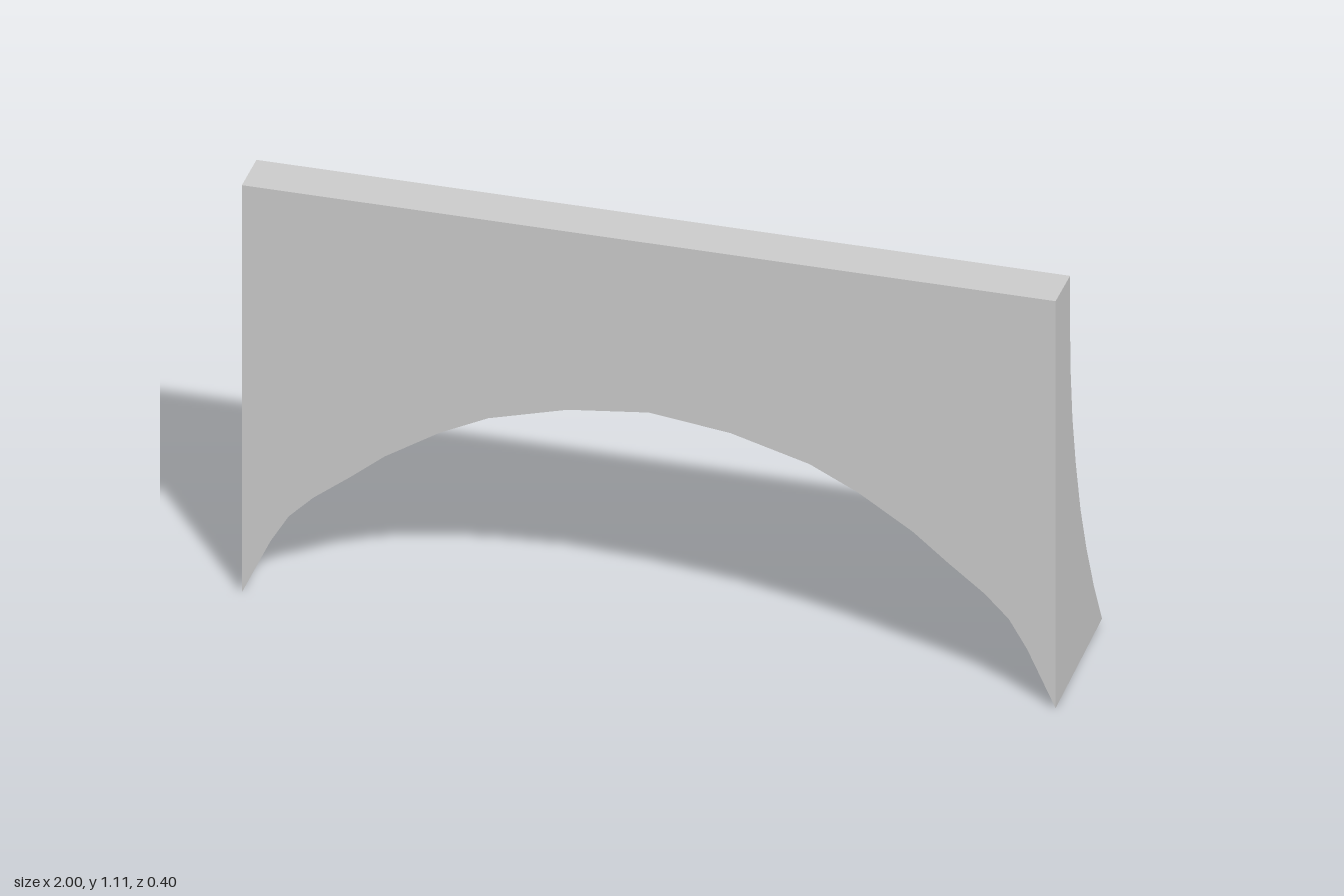
import * as THREE from 'three';
import { toCreasedNormals } from 'three/addons/utils/BufferGeometryUtils.js';

const FRONT_Z = 0.2, TOP_Y = 1.11;

// Half of the arch opening, from crown to foot: [x, y]
const ARCH = [[0, 0.648], [0.2, 0.624], [0.395, 0.57], [0.515, 0.511], [0.65, 0.425],
  [0.735, 0.355], [0.825, 0.285], [0.885, 0.225], [0.93, 0.15], [1, 0]];

// Curved back, from top to flared foot: [y, z]
const BACK = [[TOP_Y, 0.075], [0.98, 0.075], [0.86, 0.072], [0.71, 0.055], [0.57, 0.026],
  [0.425, -0.014], [0.285, -0.067], [0.15, -0.13], [0.023, -0.2]];

// Depth of the back surface at a given height
function backZ(y) {
  const i = Math.max(1, BACK.findIndex(([h]) => h <= y));
  const [y0, z0] = BACK[i - 1], [y1, z1] = BACK[i];
  return z0 + (z1 - z0) * (y0 - y) / (y0 - y1);
}

// Closed cross-section of the wall at one x: up the front, over the top, down the back
function section(x, archY) {
  const ring = [[x, archY, FRONT_Z], [x, TOP_Y, FRONT_Z]];
  for (const [level] of BACK) {
    const y = Math.max(level, archY);
    ring.push([x, y, backZ(y)]);
  }
  return ring;
}

function archGeometry() {
  const columns = [...ARCH.slice(1).reverse().map(([x, y]) => [-x, y]), ...ARCH];
  const rings = columns.map(([x, y]) => section(x, y));
  const positions = [];
  const a = new THREE.Vector3(), b = new THREE.Vector3(), c = new THREE.Vector3();

  // Adds a triangle, skipping the collapsed ones along the arch edge
  const triangle = (p, q, r) => {
    a.fromArray(p); b.fromArray(q).sub(a); c.fromArray(r).sub(a);
    if (b.cross(c).length() > 1e-7) positions.push(...p, ...q, ...r);
  };

  // Skin between neighbouring sections
  for (let i = 0; i < rings.length - 1; i++) {
    const left = rings[i], right = rings[i + 1], n = left.length;
    for (let k = 0; k < n; k++) {
      const m = (k + 1) % n;
      triangle(left[k], right[k], right[m]);
      triangle(left[k], right[m], left[m]);
    }
  }

  // Flat ends
  const first = rings[0], last = rings[rings.length - 1];
  for (let k = 1; k < first.length - 1; k++) {
    triangle(first[0], first[k], first[k + 1]);
    triangle(last[0], last[k + 1], last[k]);
  }

  const geometry = new THREE.BufferGeometry();
  geometry.setAttribute('position', new THREE.Float32BufferAttribute(positions, 3));
  return toCreasedNormals(geometry, 0.6);
}

export function createModel() {
  const group = new THREE.Group();
  group.name = 'archway';
  const wall = new THREE.Mesh(archGeometry(), new THREE.MeshStandardMaterial({ color: 0xcccccc }));
  wall.name = 'archedWall';
  group.add(wall);
  return group;
}
